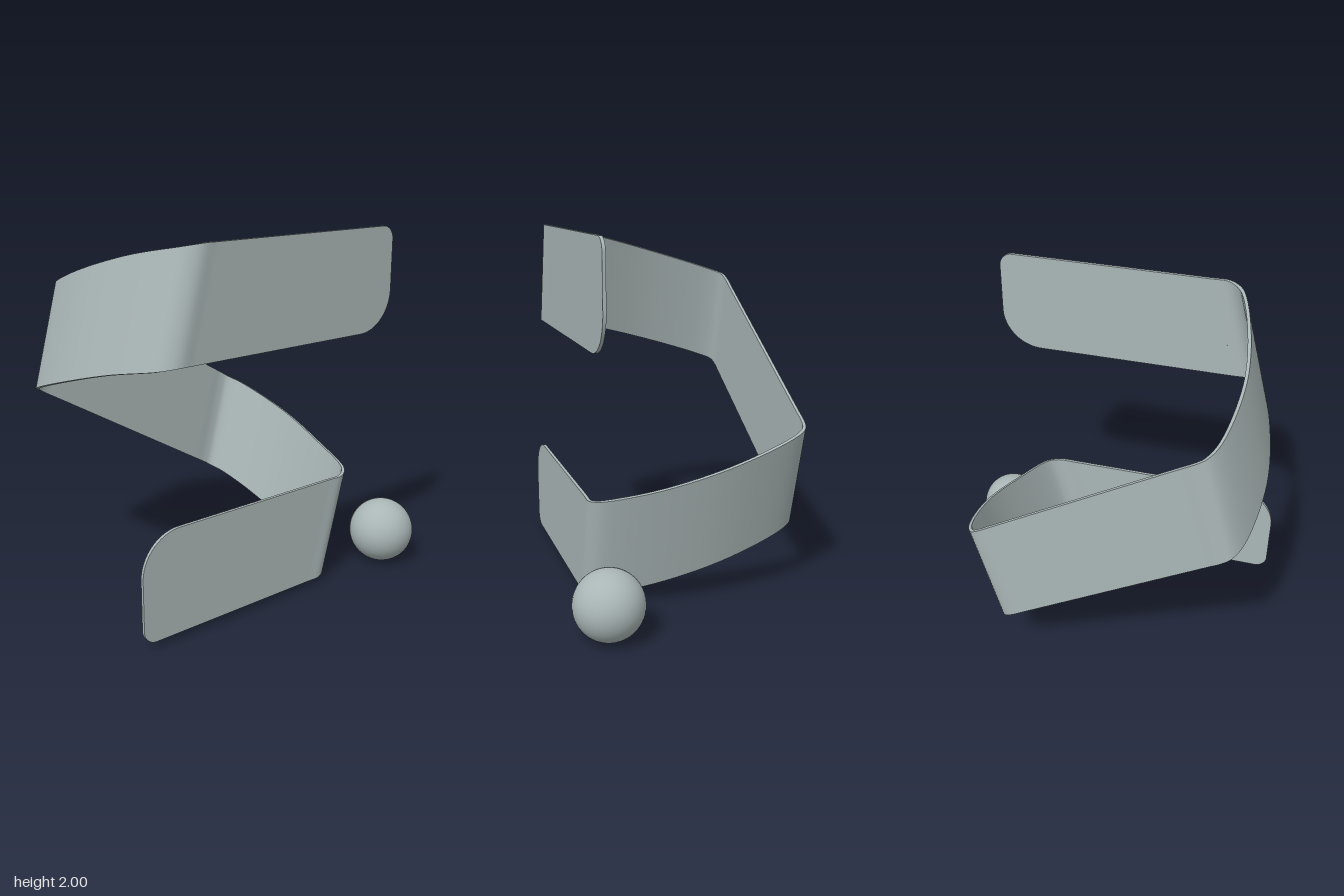
import * as THREE from 'three';

const THICK = 0.018;
const W = new THREE.Vector3(0.157, 0.58, 0); // slanted width of the ribbon

// Surface between two rows of points that run in the same direction
function strip(a, b) {
  const pos = [], idx = [];
  a.forEach((p, i) => {
    pos.push(...p.toArray(), ...b[i].toArray());
    if (i) {
      const k = 2 * i - 2;
      idx.push(k, k + 2, k + 1, k + 1, k + 2, k + 3);
    }
  });
  const g = new THREE.BufferGeometry();
  g.setAttribute('position', new THREE.Float32BufferAttribute(pos, 3));
  g.setIndex(idx);
  g.computeVertexNormals();
  return g;
}

// Flat end of the ribbon, slanted on one side and rounded on the other
function panelGeometry(end) {
  const y0 = 0.693 - W.y / 2, y1 = 0.693 + W.y / 2, big = 0.23, small = 0.075;
  const s = new THREE.Shape();
  s.moveTo(-0.4 - W.x / 2, y0);
  s.lineTo(end - big, y0);
  s.absarc(end - big, y0 + big, big, -Math.PI / 2, 0, false);
  s.lineTo(end, y1 - small);
  s.absarc(end - small, y1 - small, small, 0, Math.PI / 2, false);
  s.lineTo(-0.4 + W.x / 2, y1);
  s.closePath();
  const g = new THREE.ExtrudeGeometry(s, { depth: THICK, bevelEnabled: false, curveSegments: 16 });
  return g.translate(0, 0, 0.51 - THICK);
}

export function createModel() {
  const model = new THREE.Group();
  model.name = 'ribbonAndBall';
  const grey = new THREE.MeshStandardMaterial({ color: 0xaab6b6 });
  grey.name = 'paleGrey';

  const ribbon = new THREE.Group();
  ribbon.name = 'ribbon';
  ribbon.position.set(-0.16, 1.0165, 0);
  model.add(ribbon);

  const add = (parent, name, geometry) => {
    const m = new THREE.Mesh(geometry, grey);
    m.name = name;
    parent.add(m);
    return m;
  };

  // Path of the ribbon's outer face: one bend, then the same turned half round
  const bend = [
    [-0.4, 0.693, 0.51], [-0.48, 0.693, 0.51], [-0.53, 0.687, 0.488], [-0.575, 0.676, 0.44],
    [-0.66, 0.62, 0.16], [-0.71, 0.515, -0.22], [-0.665, 0.4, -0.585],
    [-0.615, 0.364, -0.675], [-0.565, 0.334, -0.69], [-0.5, 0.296, -0.69],
  ].map(p => new THREE.Vector3(...p));
  const back = bend.map(p => new THREE.Vector3(-p.x, -p.y, p.z)).reverse();
  const path = new THREE.CatmullRomCurve3([...bend, ...back], false, 'centripetal');
  path.arcLengthDivisions = 1000;

  const outerTop = [], outerLow = [], innerTop = [], innerLow = [];
  const steps = 240;
  for (let i = 0; i <= steps; i++) {
    const p = path.getPointAt(i / steps);
    const n = path.getTangentAt(i / steps).cross(W).normalize().multiplyScalar(THICK);
    const top = p.clone().addScaledVector(W, 0.5);
    const low = p.clone().addScaledVector(W, -0.5);
    outerTop.push(top);
    outerLow.push(low);
    innerTop.push(top.clone().add(n));
    innerLow.push(low.clone().add(n));
  }
  add(ribbon, 'ribbonOuterFace', strip(outerTop, outerLow));
  add(ribbon, 'ribbonInnerFace', strip(innerLow, innerTop));
  add(ribbon, 'ribbonTopEdge', strip(innerTop, outerTop));
  add(ribbon, 'ribbonBottomEdge', strip(outerLow, innerLow));

  // Flat ends
  add(ribbon, 'upperPanel', panelGeometry(0.905));
  add(ribbon, 'lowerPanel', panelGeometry(0.8)).rotation.z = Math.PI;

  // Ball beside the lower end
  add(model, 'ball', new THREE.SphereGeometry(0.187, 48, 32)).position.set(0.768, 0.187, 0.503);

  return model;
}
